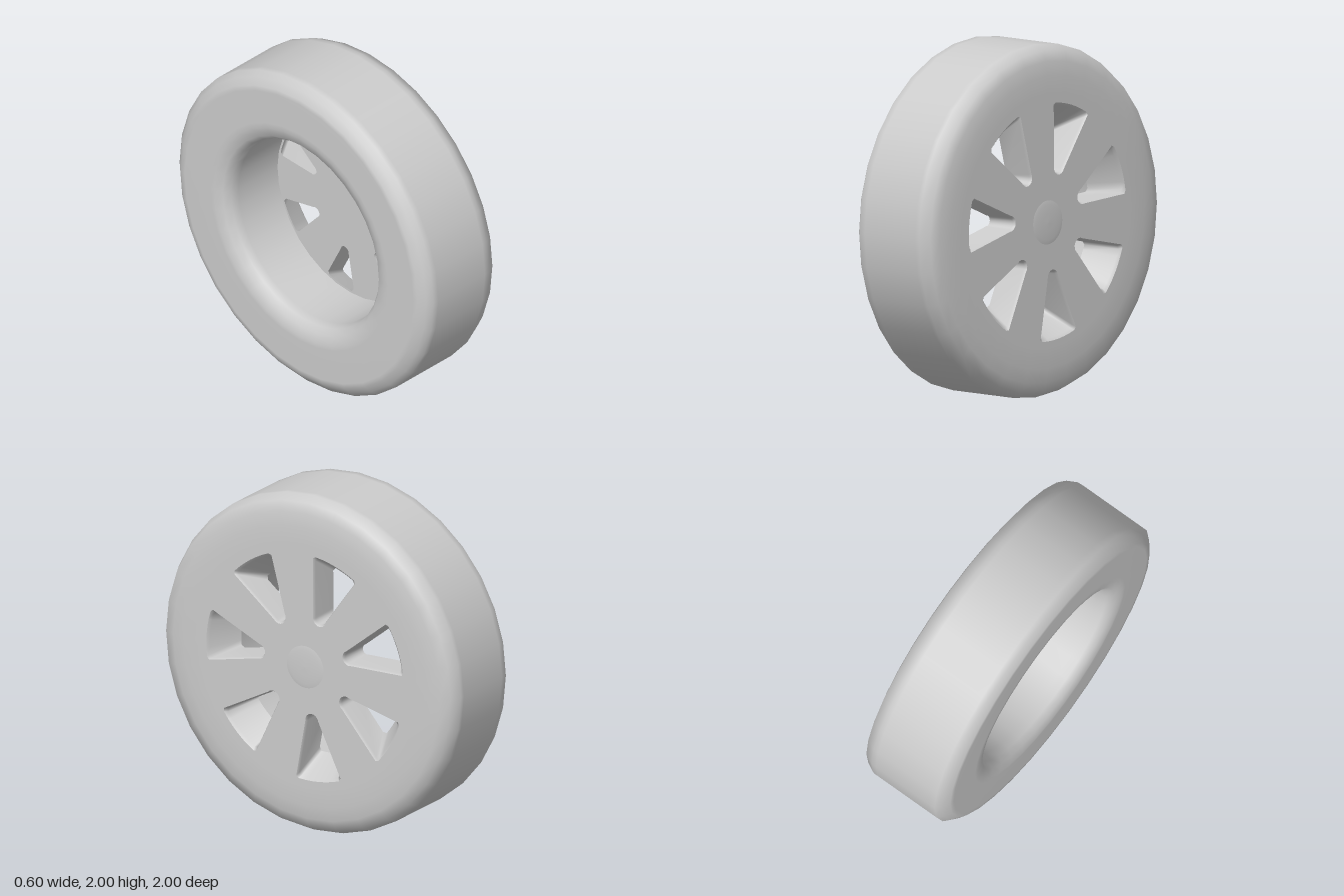
import * as THREE from 'three';

const SEG = 32, SPOKES = 7, FACE_X = 0.29, BACK_X = 0.11;
const mat = new THREE.MeshStandardMaterial({ color: 0xcccccc });
const thin = new THREE.MeshStandardMaterial({ color: 0xcccccc, side: THREE.DoubleSide });
const V2 = (x, y) => new THREE.Vector2(x, y);

// Lathe whose axis is turned onto +x; points are [radius, x]
function latheX(pts) {
  const g = new THREE.LatheGeometry(pts.map(([r, x]) => V2(r, x)), SEG);
  g.rotateZ(-Math.PI / 2);
  return g;
}

// Wedge-shaped window with a round tip and softened outer corners, counterclockwise
function windowOutline(angle, outerR, inset) {
  const half = r => 0.045 - inset + (r - 0.32) * 0.33;
  const pts = [];
  const rc = outerR - 0.03;
  const a = half(outerR) / outerR - 0.035;
  pts.push(V2(rc, -half(rc)));
  for (let i = 0; i <= 6; i++) {
    const t = -a + (2 * a * i) / 6;
    pts.push(V2(outerR * Math.cos(t), outerR * Math.sin(t)));
  }
  pts.push(V2(rc, half(rc)));
  for (let i = 0; i <= 8; i++) {
    const t = Math.PI * (0.5 + i / 8), r = 0.045 - inset;
    pts.push(V2(0.32 + r * Math.cos(t), r * Math.sin(t)));
  }
  return pts.map(p => p.rotateAround(V2(0, 0), angle));
}

// Flat disc with the windows cut out, facing +x
function discWithWindows(radius, holes, x) {
  const rim = Array.from({ length: SEG }, (_, i) => {
    const t = (i / SEG) * Math.PI * 2;
    return V2(radius * Math.cos(t), radius * Math.sin(t));
  });
  const shape = new THREE.Shape(rim);
  shape.holes = holes.map(h => new THREE.Path(h));
  const g = new THREE.ShapeGeometry(shape);
  g.translate(0, 0, x).rotateY(Math.PI / 2);
  return g;
}

// Inside walls of a window, lofted through rings from front to back
function loftWalls(rings) {
  const n = rings[0].pts.length, pos = [], index = [];
  rings.forEach(({ pts, x }) => pts.forEach(p => pos.push(x, p.y, -p.x)));
  for (let k = 0; k < rings.length - 1; k++) {
    for (let i = 0; i < n; i++) {
      const j = (i + 1) % n;
      const a = k * n + i, b = k * n + j, c = a + n, d = b + n;
      index.push(a, b, c, b, d, c);
    }
  }
  const g = new THREE.BufferGeometry();
  g.setAttribute('position', new THREE.Float32BufferAttribute(pos, 3));
  g.setIndex(index);
  g.computeVertexNormals();
  return g;
}

export function createModel() {
  const group = new THREE.Group();
  const add = (name, geo, m = mat) => {
    const mesh = new THREE.Mesh(geo, m);
    mesh.name = name;
    mesh.position.y = 1;
    group.add(mesh);
  };

  // Tyre with the rear barrel in one profile
  add('tyreAndBarrel', latheX([
    [0.575, BACK_X], [0.575, -0.2], [0.585, -0.25], [0.615, -0.285], [0.67, -0.3],
    [0.7, -0.3], [0.9, -0.3], [0.93, -0.297], [0.97, -0.268], [1, -0.24], [1, -0.2],
    [1, 0.17], [1, 0.2], [0.97, 0.26], [0.91, 0.277], [0.83, FACE_X], [0.72, FACE_X],
  ]), thin);

  // Spoke disc: front, back and window walls
  const angles = Array.from({ length: SPOKES }, (_, i) =>
    THREE.MathUtils.degToRad(-82) + (i * Math.PI * 2) / SPOKES);
  const front = angles.map(a => windowOutline(a, 0.675, 0));
  const bevel = angles.map(a => windowOutline(a, 0.66, 0.009));
  const back = angles.map(a => windowOutline(a, 0.56, 0.014));
  add('spokeFace', discWithWindows(0.72, front, FACE_X));
  add('spokeBack', discWithWindows(0.575, back, BACK_X), thin);
  angles.forEach((_, i) => add('windowWall', loftWalls([
    { pts: front[i], x: FACE_X },
    { pts: bevel[i], x: FACE_X - 0.015 },
    { pts: back[i], x: BACK_X },
  ]), thin));

  // Shallow hub cap
  add('hubCap', latheX([
    [0.125, FACE_X], [0.1, FACE_X + 0.004], [0.05, FACE_X + 0.006], [0, FACE_X + 0.007],
  ]));
  return group;
}
